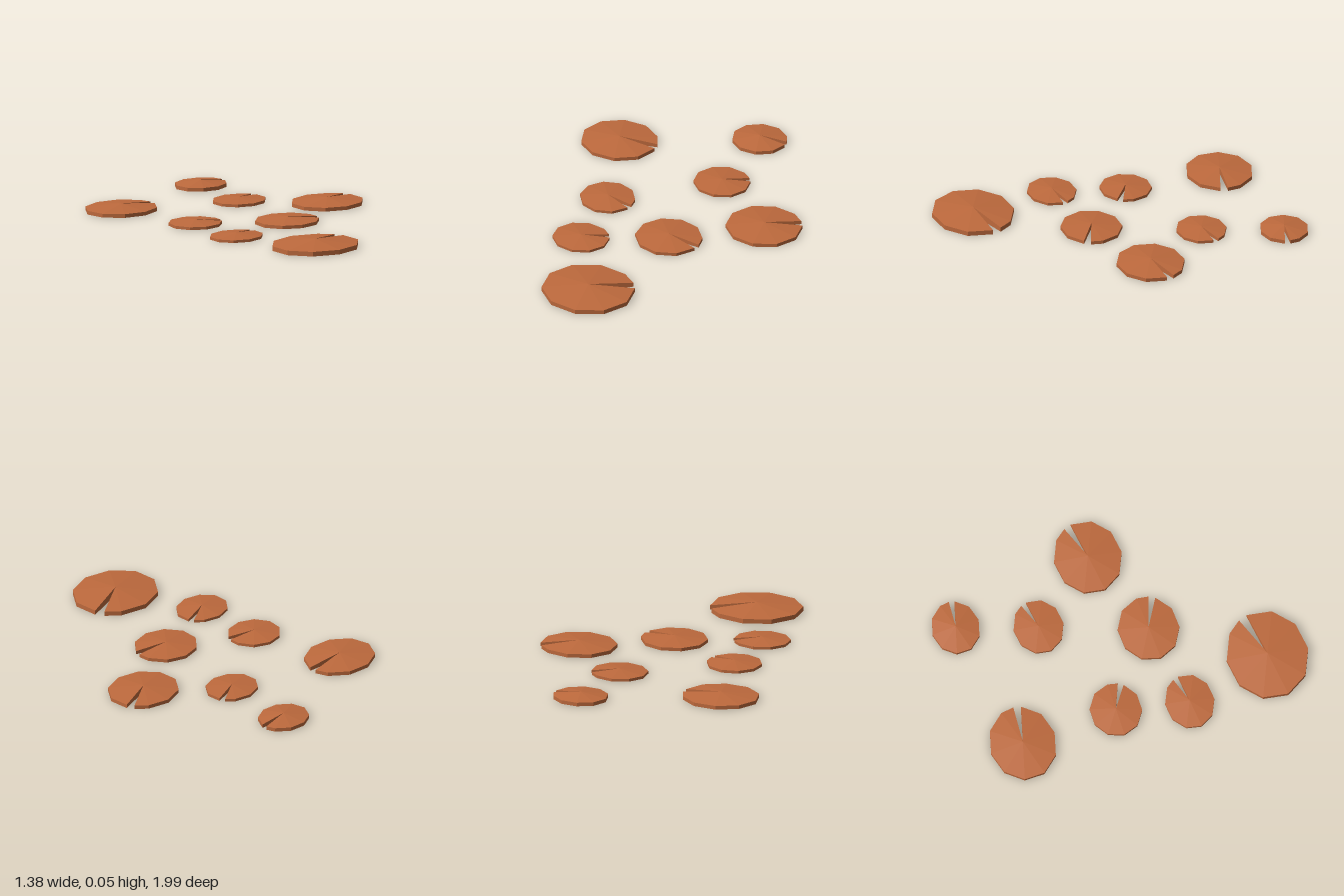
import * as THREE from 'three';

// Each pad: centre x, z, radius x, z, angle of the notch in degrees, peak height, rim height
const PADS = [
  [-0.355, 0.765, 0.262, 0.23, -12, 0.05, 0.026],
  [-0.484, -0.693, 0.218, 0.188, 15, 0.041, 0.021],
  [0.28, -0.865, 0.156, 0.136, 15, 0.041, 0.021],
  [0.159, -0.418, 0.16, 0.141, -12, 0.03, 0.016],
  [-0.434, -0.138, 0.156, 0.146, 34, 0.031, 0.016],
  [0.479, -0.04, 0.216, 0.191, -12, 0.041, 0.021],
  [-0.02, 0.17, 0.189, 0.172, 30, 0.036, 0.019],
  [-0.5, 0.272, 0.161, 0.138, -10, 0.03, 0.015],
];

// Hollow ten-sided shallow cone with a skirt and a narrow wedge cut out
function padGeometry(rx, rz, notch, peak, rim) {
  const outline = [[0, 0, peak]];
  for (let k = 0; k <= 10; k++) {
    const step = k < 10 ? k * 36 : 347;
    const t = THREE.MathUtils.degToRad(notch + step);
    outline.push([rx * Math.cos(t), rz * Math.sin(t), rim]);
  }
  const n = outline.length;
  const positions = [];
  for (const [x, z, y] of outline) positions.push(x, y, z, x, 0, z);

  const index = [];
  for (let i = 0; i < n; i++) {
    const a = 2 * i, b = 2 * ((i + 1) % n);
    index.push(a, b, b + 1, a, b + 1, a + 1); // skirt and notch walls
    if (i > 0 && i < n - 1) index.push(0, b, a); // sloping top
  }
  const geometry = new THREE.BufferGeometry();
  geometry.setAttribute('position', new THREE.Float32BufferAttribute(positions, 3));
  geometry.setIndex(index);
  const flat = geometry.toNonIndexed();
  flat.computeVertexNormals();
  return flat;
}

export function createModel() {
  const group = new THREE.Group();
  group.name = 'lilyPads';
  const material = new THREE.MeshStandardMaterial({
    name: 'copper brown', color: 0xbe6a3d, flatShading: true, side: THREE.DoubleSide,
  });
  PADS.forEach(([x, z, ...shape], i) => {
    const pad = new THREE.Mesh(padGeometry(...shape), material);
    pad.name = `lilyPad${i + 1}`;
    pad.position.set(x, 0, z);
    group.add(pad);
  });
  return group;
}
